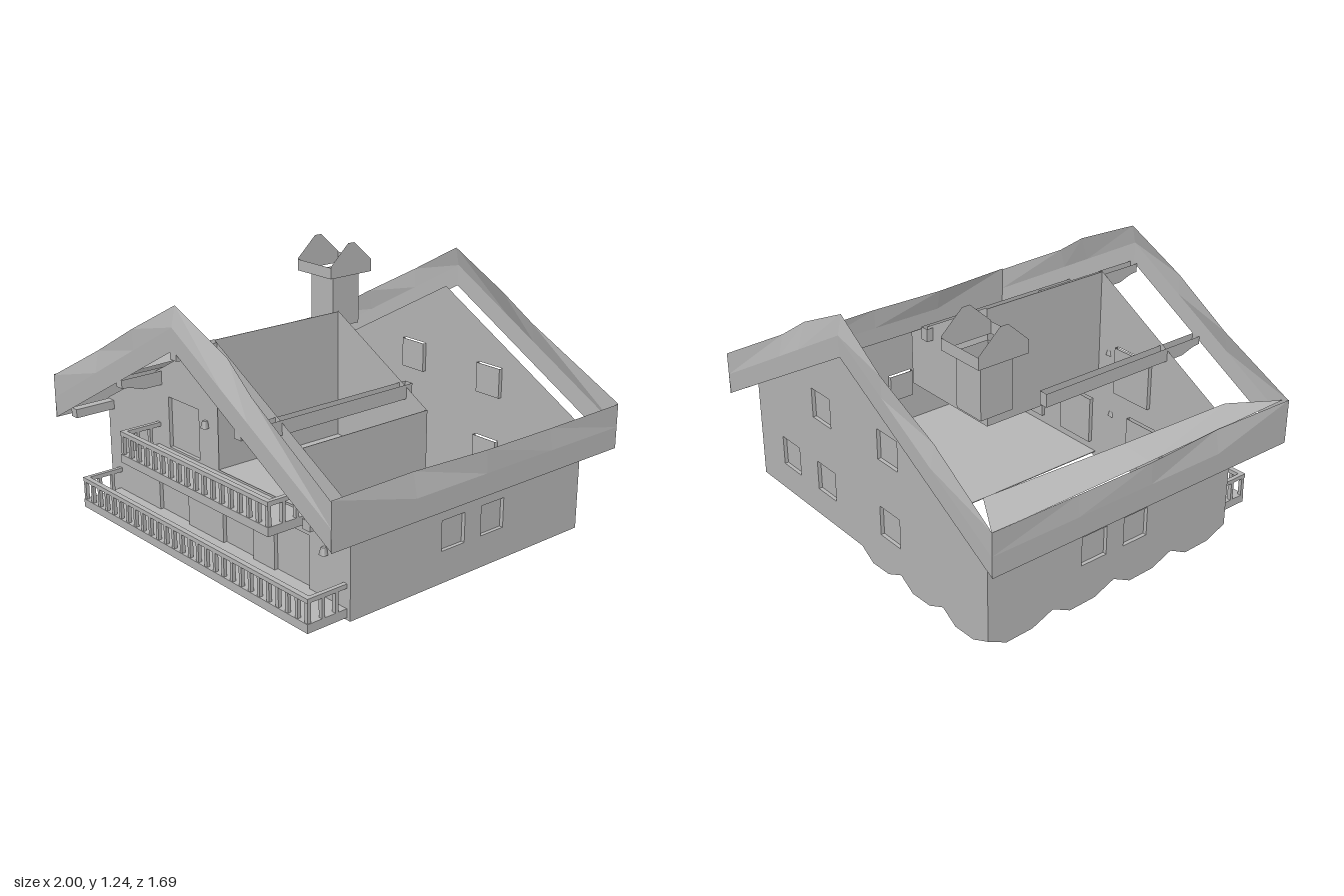
import * as THREE from 'three';

const plaster = new THREE.MeshStandardMaterial({ color: 0xb8b8b8, side: THREE.DoubleSide });
plaster.name = 'plain grey';

const FRONT = 0.63, BACK = -0.76, SIDE = 0.87, BASE = 0.06;
const roofY = (x) => 1.04 - 0.555 * Math.abs(x);

function add(parent, name, geometry, x = 0, y = 0, z = 0) {
  const mesh = new THREE.Mesh(geometry, plaster);
  mesh.name = name;
  mesh.position.set(x, y, z);
  parent.add(mesh);
  return mesh;
}

// Box given by its minimum and maximum corners
function block(parent, name, x0, x1, y0, y1, z0, z1) {
  return add(parent, name, new THREE.BoxGeometry(x1 - x0, y1 - y0, z1 - z0),
    (x0 + x1) / 2, (y0 + y1) / 2, (z0 + z1) / 2);
}

const shapeOf = (pts) => new THREE.Shape(pts.map(([x, y]) => new THREE.Vector2(x, y)));

// Open sheet joining rows of points
function sheet(rows) {
  const pos = [];
  for (let r = 0; r + 1 < rows.length; r++) {
    for (let i = 0; i + 1 < rows[r].length; i++) {
      const a = rows[r][i], b = rows[r][i + 1], c = rows[r + 1][i + 1], d = rows[r + 1][i];
      pos.push(...a, ...b, ...c, ...a, ...c, ...d);
    }
  }
  const g = new THREE.BufferGeometry();
  g.setAttribute('position', new THREE.Float32BufferAttribute(pos, 3));
  g.computeVertexNormals();
  return g;
}

// Wavy lower edge of a wall
function scallops(from, to, count) {
  const pts = [], w = (to - from) / count;
  for (let i = 0; i < count; i++) {
    const t = from + i * w;
    pts.push([t, BASE], [t + 0.28 * w, 0.01], [t + 0.68 * w, 0.015]);
  }
  pts.push([to, BASE]);
  return pts;
}

// Wall in its own plane, with recessed panels [x0, x1, y0, y1] and open holes
function facade(parent, name, outline, panels, turn, x, z, openings = []) {
  const wall = new THREE.Group();
  wall.name = name;
  const shape = shapeOf(outline), d = -0.018;
  for (const [x0, x1, y0, y1] of panels) {
    shape.holes.push(shapeOf([[x0, y0], [x0, y1], [x1, y1], [x1, y0]]));
    block(wall, 'panel', x0, x1, y0, y1, d - 0.002, d);
    // reveal on the sides and the sill
    add(wall, 'reveal', sheet([
      [[x0, y1, 0], [x0, y0, 0], [x1, y0, 0], [x1, y1, 0]],
      [[x0, y1, d], [x0, y0, d], [x1, y0, d], [x1, y1, d]],
    ]));
  }
  for (const o of openings) shape.holes.push(shapeOf(o));
  add(wall, 'wallFace', new THREE.ShapeGeometry(shape));
  wall.rotation.y = turn;
  wall.position.set(x, 0, z);
  parent.add(wall);
}

// Balcony with slab, rail and balusters on three sides
function balcony(parent, name, x0, x1, y0, y1) {
  const g = new THREE.Group();
  g.name = name;
  const zOut = 0.835, t = 0.02, slab = y0 + 0.04, rail = y1 - 0.02;
  block(g, 'slab', x0, x1, y0, slab, FRONT, zOut);
  block(g, 'frontRail', x0, x1, rail, y1, zOut - 0.025, zOut);
  const n = Math.round((x1 - x0) / 0.062);
  for (let i = 0; i <= n; i++) {
    const x = x0 + (x1 - x0 - t) * i / n;
    block(g, 'baluster', x, x + t * 0.85, slab, rail, zOut - t, zOut - 0.003);
  }
  for (const x of [x0, x1 - t]) {
    block(g, 'sideRail', x, x + t, rail, y1, FRONT, zOut - 0.025);
    for (const z of [0.675, 0.745]) block(g, 'baluster', x, x + t, slab, rail, z, z + 0.015);
  }
  parent.add(g);
}

// Roof beam with a carved front end; the top is left open
function beam(parent, name, x, top, zBack, depth) {
  const under = [[zBack, top], [zBack, top - depth], [0.73, top - depth], [0.77, top - depth * 0.8],
    [0.8, top - depth * 0.66], [0.84, top - depth * 0.6], [0.84, top]];
  const g = new THREE.Group();
  g.name = name;
  const w = 0.022;
  for (const s of [-w, w]) {
    const side = add(g, 'beamSide', new THREE.ShapeGeometry(shapeOf(under.map(([z, y]) => [-z, y]))), x + s);
    side.rotation.y = Math.PI / 2;
  }
  add(g, 'beamUnderside', sheet([-w, w].map((s) => under.map(([z, y]) => [x + s, y, z]))));
  parent.add(g);
}

export function createModel() {
  const house = new THREE.Group();
  house.name = 'chalet';
  const eave = roofY(SIDE);

  // Front wall with doors and the recessed terrace opening
  facade(house, 'frontWall',
    [...scallops(-SIDE, 0.07, 3), [SIDE, BASE], [SIDE, eave], [0, roofY(0)], [-SIDE, eave]],
    [[-0.36, -0.13, 0.45, 0.69], [-0.46, -0.23, 0.11, 0.35], [0.03, 0.245, 0.11, 0.35], [0.39, 0.62, 0.11, 0.35]],
    0, 0, FRONT, [[[0.012, 0.45], [0.012, 0.945], [0.58, 0.645], [0.58, 0.45]]]);

  // Back wall, drawn in its own mirrored x
  const backWindows = [[0.2, 0.65], [-0.31, 0.64], [-0.6, 0.27], [-0.3, 0.27], [0.2, 0.27]];
  facade(house, 'backWall',
    [[-SIDE, BASE], ...scallops(-0.03, SIDE, 3), [SIDE, eave], [0, roofY(0)], [-SIDE, eave]],
    backWindows.map(([x, y]) => [x - 0.073, x + 0.073, y - 0.073, y + 0.073]), Math.PI, 0, BACK);

  // Side walls, two windows each
  facade(house, 'leftWall', [[-FRONT, BASE], [-BACK, BASE], [-BACK, eave], [-FRONT, eave]],
    [[-0.12, 0.017, 0.21, 0.35], [0.117, 0.257, 0.21, 0.35]], Math.PI / 2, SIDE, 0);
  facade(house, 'rightWall', [...scallops(BACK, FRONT, 4), [FRONT, eave], [BACK, eave]],
    [[-0.017, 0.12, 0.21, 0.35], [-0.257, -0.117, 0.21, 0.35]], -Math.PI / 2, -SIDE, 0);

  // Ground floor under the left half
  block(house, 'groundFloor', 0, SIDE, BASE, BASE + 0.004, BACK, FRONT);

  // Recessed terrace: floor, two side walls and a sloping-topped back wall
  const zr = -0.065, xr = 0.58, yf = 0.445;
  block(house, 'terraceFloor', 0, xr, yf - 0.004, yf, zr, FRONT);
  block(house, 'terraceInnerWall', -0.003, 0, yf, roofY(0) - 0.005, zr, FRONT);
  block(house, 'terraceOuterWall', xr, xr + 0.003, yf, roofY(xr), zr, FRONT);
  add(house, 'terraceBackWall', new THREE.ShapeGeometry(
    shapeOf([[0, yf], [xr, yf], [xr, roofY(xr)], [0, roofY(0)]])), 0, 0, zr);

  // Balconies
  balcony(house, 'lowerBalcony', -0.8, 0.85, 0.07, 0.22);
  balcony(house, 'upperBalcony', -0.45, 0.61, 0.4, 0.55);

  // Wall lanterns
  const lantern = new THREE.CylinderGeometry(0.012, 0.021, 0.034, 4, 1).rotateY(Math.PI / 4);
  for (const [x, y] of [[-0.62, 0.32], [-0.1, 0.32], [0.31, 0.32], [0.72, 0.32], [-0.07, 0.64]]) {
    add(house, 'lantern', lantern, x, y, FRONT + 0.01);
  }

  // Beams under the roof overhang
  beam(house, 'ridgeBeam', 0, 1.03, FRONT, 0.07);
  for (const s of [-1, 1]) {
    beam(house, 'purlin', s * 0.43, 0.8, -0.1, 0.065);
    block(house, 'eaveBeam', s * 0.845 - 0.0225, s * 0.845 + 0.0225, 0.51, 0.552, FRONT, 0.835);
  }

  // Gable boards: [x, top height, inward lean of the top edge]
  const crest = [[-1, 0.68, 0], [-0.62, 0.885, 0.02], [-0.3, 1.058, 0], [0, 1.22, 0.02],
    [0.33, 1.065, 0.04], [0.5, 0.95, 0.025], [1, 0.68, 0]];
  for (const s of [1, -1]) {
    const top = crest.map(([x, y, lean]) => [x, y, s * (0.843 - lean)]);
    const mid = crest.map(([x]) => [x, 1.13 - 0.56 * Math.abs(x), s * 0.843]);
    const low = crest.map(([x]) => [x, 1.03 - 0.56 * Math.abs(x), s * 0.84]);
    add(house, s > 0 ? 'frontGableTrim' : 'backGableTrim', sheet([top, mid]));
    add(house, s > 0 ? 'frontGableBoard' : 'backGableBoard', sheet([mid, low]));
  }

  // Eave boards: [z, top height, inward lean]
  const eaveLine = [[0.843, 0.685, 0], [0.4, 0.678, 0.022], [0, 0.673, 0.003], [-0.4, 0.668, 0.01], [-0.843, 0.678, 0]];
  for (const s of [1, -1]) {
    const top = eaveLine.map(([z, y, lean]) => [s * (1 - lean), y, z]);
    const mid = eaveLine.map(([z]) => [s, 0.57, z]);
    const low = eaveLine.map(([z]) => [s, 0.47, z]);
    add(house, s > 0 ? 'leftEaveTrim' : 'rightEaveTrim', sheet([top, mid]));
    add(house, s > 0 ? 'leftEaveBoard' : 'rightEaveBoard', sheet([mid, low]));
  }

  // Remaining strip of roof along the right eave
  add(house, 'roofEdgeStrip', sheet([
    [[-1, 0.675, -0.843], [-0.985, 0.672, 0], [-0.97, 0.675, 0.835]],
    [[-0.825, 0.71, -0.745], [-0.825, 0.685, 0], [-0.825, 0.67, 0.62]],
  ]));

  // Chimney: open shaft, wider collar and two gabled end plates
  const chimney = new THREE.Group();
  chimney.name = 'chimney';
  const tube = (name, x0, x1, y0, y1, z0, z1) => add(chimney, name, sheet([y0, y1].map((y) =>
    [[x0, y, z0], [x0, y, z1], [x1, y, z1], [x1, y, z0], [x0, y, z0]])));
  tube('shaft', -0.51, -0.35, 0.83, 1.09, -0.505, -0.338);
  tube('collar', -0.555, -0.31, 1.09, 1.145, -0.55, -0.29);
  const cap = new THREE.ShapeGeometry(shapeOf([[0.29, 1.14], [0.55, 1.14], [0.55, 1.15], [0.44, 1.25], [0.4, 1.25], [0.29, 1.15]]));
  for (const x of [-0.555, -0.31]) add(chimney, 'capGable', cap, x).rotation.y = Math.PI / 2;
  house.add(chimney);

  return house;
}
